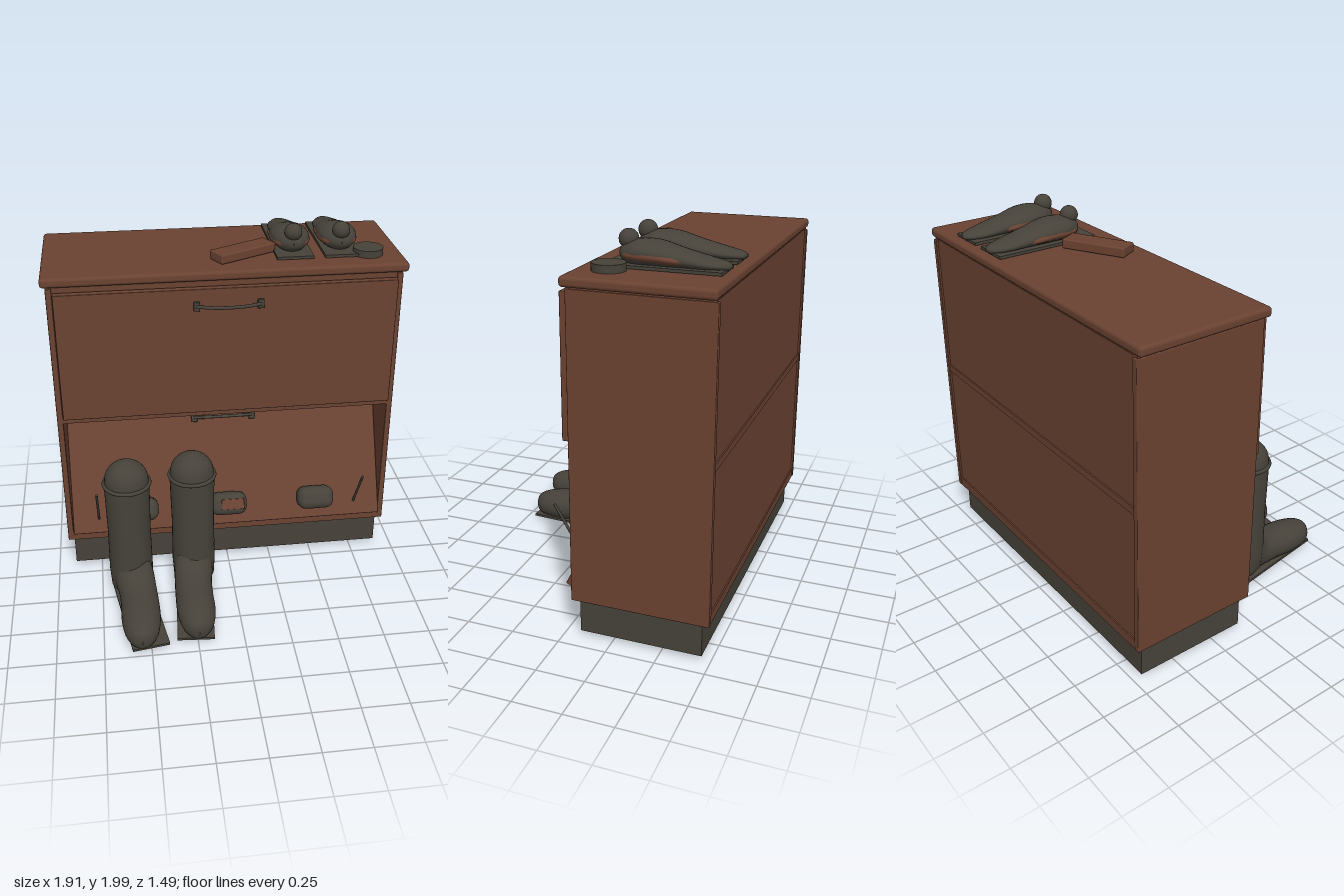
import * as THREE from 'three';
import { RoundedBoxGeometry } from 'three/addons/geometries/RoundedBoxGeometry.js';

const wood = new THREE.MeshStandardMaterial({ name: 'brown wood', color: 0x6a4231 });
const dark = new THREE.MeshStandardMaterial({ name: 'dark grey', color: 0x46423a });

function add(parent, name, geometry, material, x = 0, y = 0, z = 0) {
  const mesh = new THREE.Mesh(geometry, material);
  mesh.name = name;
  mesh.position.set(x, y, z);
  parent.add(mesh);
  return mesh;
}

function group(parent, name, x = 0, y = 0, z = 0) {
  const g = new THREE.Group();
  g.name = name;
  g.position.set(x, y, z);
  parent.add(g);
  return g;
}

// Box given by its limits on each axis, with an optional rounded edge
function slab(parent, name, material, [x0, x1], [y0, y1], [z0, z1], r = 0) {
  const size = [x1 - x0, y1 - y0, z1 - z0];
  const geo = r ? new RoundedBoxGeometry(...size, 3, r) : new THREE.BoxGeometry(...size);
  return add(parent, name, geo, material, (x0 + x1) / 2, (y0 + y1) / 2, (z0 + z1) / 2);
}

// Smooth body from oval sections [z, centre x, half width, bottom, top], z rising
function loft(sections, rings = 32, sides = 28) {
  const curve = (f) => new THREE.CatmullRomCurve3(sections.map(f), false, 'catmullrom', 0.5);
  const plan = curve(([z, cx, w]) => new THREE.Vector3(z, cx, w));
  const side = curve(([z, , , a, b]) => new THREE.Vector3(z, a, b));
  const pos = [], index = [];
  for (let i = 0; i <= rings; i++) {
    const p = plan.getPoint(i / rings), s = side.getPoint(i / rings);
    for (let j = 0; j < sides; j++) {
      const a = (j / sides) * Math.PI * 2;
      pos.push(p.y + Math.cos(a) * Math.max(p.z, 0.001), (s.y + s.z) / 2 + Math.sin(a) * (s.z - s.y) / 2, p.x);
      if (i === rings) continue;
      const k = i * sides + j, n = i * sides + (j + 1) % sides;
      index.push(k, n, k + sides, n, n + sides, k + sides);
    }
  }
  const geo = new THREE.BufferGeometry();
  geo.setAttribute('position', new THREE.Float32BufferAttribute(pos, 3));
  geo.setIndex(index);
  geo.computeVertexNormals();
  return geo;
}

// Bowed pull with square mounts, standing on the plane z = 0
function addHandle(parent, x, y, z) {
  const g = group(parent, 'handle', x, y, z);
  const path = new THREE.CatmullRomCurve3([-0.17, -0.1, 0, 0.1, 0.17].map(
    (px, i) => new THREE.Vector3(px, 0, [0.012, 0.036, 0.047, 0.036, 0.012][i])));
  add(g, 'handleBar', new THREE.TubeGeometry(path, 24, 0.009, 10), dark);
  for (const s of [-1, 1]) add(g, 'handleMount', new RoundedBoxGeometry(0.034, 0.05, 0.018, 2, 0.004), dark, s * 0.167, 0, 0.009);
}

// Tall boot; bend shifts the foot sideways, yaw turns the sole plate
function addBoot(parent, x, z, bend, yaw) {
  const g = group(parent, 'boot', x, 0, z);
  const profile = [[0.09, 0.06], [0.114, 0.1], [0.12, 0.2], [0.117, 0.45], [0.122, 0.74], [0.118, 0.775]];
  for (let i = 1; i <= 8; i++) {
    const a = (i / 8) * Math.PI / 2;
    profile.push([Math.max(0.118 * Math.cos(a), 0), 0.775 + 0.11 * Math.sin(a)]);
  }
  add(g, 'bootShaft', new THREE.LatheGeometry(profile.map((p) => new THREE.Vector2(...p)), 36), dark);
  const cuff = add(g, 'bootCuff', new THREE.TorusGeometry(0.122, 0.011, 10, 40), dark, 0, 0.755, 0);
  cuff.rotation.x = Math.PI / 2;
  add(g, 'bootFoot', loft([
    [-0.118, 0, 0.004, 0.07, 0.09], [-0.1, 0, 0.075, 0.025, 0.2], [-0.03, 0, 0.107, 0.008, 0.33],
    [0.07, bend * 0.4, 0.108, 0.01, 0.33], [0.14, bend * 0.8, 0.104, 0.015, 0.235],
    [0.24, bend, 0.104, 0.016, 0.202], [0.36, bend, 0.104, 0.01, 0.19], [0.46, bend, 0.084, 0.018, 0.168],
    [0.51, bend, 0.045, 0.04, 0.14], [0.525, bend, 0.003, 0.08, 0.1],
  ]), dark);
  const sole = group(g, 'bootSole');
  sole.rotation.y = yaw;
  slab(sole, 'solePlate', dark, [-0.1, 0.1], [0.028, 0.041], [-0.12, 0.505]);
  slab(sole, 'heelBlock', dark, [-0.07, 0.07], [0.03, 0.075], [-0.11, -0.02], 0.01);
}

// Low shoe with its toe to the back, standing on a plate, with a round knob
function addShoe(parent, x) {
  const g = group(parent, 'shoe', x, 1.83, 0);
  slab(g, 'shoePlate', dark, [-0.098, 0.098], [0.005, 0.02], [-0.7, -0.14]);
  add(g, 'shoeBody', loft([
    [-0.722, 0, 0.003, 0.025, 0.035], [-0.7, 0, 0.04, 0.01, 0.05], [-0.62, 0, 0.075, 0.008, 0.066],
    [-0.5, 0, 0.088, 0.008, 0.095], [-0.38, 0, 0.104, 0.008, 0.127], [-0.29, 0, 0.098, 0.008, 0.128],
    [-0.23, 0, 0.07, 0.015, 0.112], [-0.2, 0, 0.035, 0.04, 0.09], [-0.193, 0, 0.003, 0.06, 0.07],
  ]), dark);
  add(g, 'shoeSidePanel', loft([
    [-0.57, 0, 0.003, 0.035, 0.05], [-0.5, 0, 0.089, 0.02, 0.075], [-0.38, 0, 0.107, 0.02, 0.1],
    [-0.3, 0, 0.102, 0.02, 0.1], [-0.23, 0, 0.073, 0.03, 0.09], [-0.2, 0, 0.003, 0.055, 0.07],
  ]), wood);
  add(g, 'knobStem', new THREE.CylinderGeometry(0.025, 0.03, 0.05, 20), dark, 0, 0.105, -0.233);
  add(g, 'knob', new THREE.SphereGeometry(0.047, 24, 16), dark, 0, 0.123, -0.233);
}

export function createModel() {
  const model = new THREE.Group();
  model.name = 'shoeCabinet';

  // Carcass
  const body = group(model, 'cabinet');
  slab(body, 'plinth', dark, [-0.9, 0.9], [0.03, 0.212], [-0.705, -0.08]);
  slab(body, 'topBoard', wood, [-0.956, 0.956], [1.78, 1.831], [-0.748, -0.022], 0.018);
  slab(body, 'topRail', wood, [-0.9, 0.9], [1.735, 1.782], [-0.735, -0.05]);
  for (const s of [-1, 1]) {
    slab(body, 'sidePanel', wood, [s * 0.916 - 0.016, s * 0.916 + 0.016], [0.212, 1.77], [-0.748, -0.045], 0.004);
    slab(body, 'sideSpacer', wood, [s * 0.913 - 0.012, s * 0.913 + 0.012], [1.76, 1.785], [-0.738, -0.06]);
  }
  slab(body, 'backPanel', wood, [-0.905, 0.905], [0.22, 1.775], [-0.737, -0.72]);
  slab(body, 'middleShelf', wood, [-0.903, 0.903], [0.988, 1.026], [-0.744, -0.046]);
  slab(body, 'bottomBoard', wood, [-0.903, 0.903], [0.212, 0.265], [-0.744, -0.046]);
  slab(body, 'hingeStrip', dark, [-0.898, 0.898], [0.263, 0.282], [-0.065, -0.045]);

  // Closed upper flap
  slab(model, 'upperDoor', wood, [-0.896, 0.896], [1.033, 1.75], [-0.04, 0], 0.004);
  addHandle(model, 0, 1.66, 0);

  // Lower flap, tilted inwards about its lower edge
  const lower = group(model, 'lowerDoor', 0, 0.27, -0.02);
  lower.rotation.x = -0.46;
  slab(lower, 'lowerDoorPanel', wood, [-0.896, 0.896], [0, 0.72], [-0.02, 0.02], 0.004);
  addHandle(lower, 0, 0.63, 0.02);
  for (const x of [-0.51, 0, 0.51]) {
    const toe = add(model, 'shoeToe', new RoundedBoxGeometry(0.21, 0.13, 0.13, 5, 0.05), dark, x, 0.408, -0.022);
    toe.rotation.x = -0.46;
    if (x === 0) add(toe, 'toePatch', new RoundedBoxGeometry(0.13, 0.06, 0.006, 2, 0.002), wood, 0.02, 0, 0.064);
  }

  // Stay rods
  for (const s of [-1, 1]) {
    const rod = add(model, 'stayRod', new THREE.CylinderGeometry(0.007, 0.007, 0.33, 10), dark, s * 0.748, 0.478, 0.035);
    rod.rotation.x = 0.54;
  }

  // Boots on the floor
  addBoot(model, -0.58, 0.22, 0.034, 0.155);
  addBoot(model, -0.225, 0.18, -0.02, -0.075);

  // Things on the top board
  addShoe(model, 0.372);
  addShoe(model, 0.629);
  const brush = add(model, 'brush', new RoundedBoxGeometry(0.35, 0.05, 0.115, 2, 0.008), wood, 0.105, 1.861, -0.235);
  brush.rotation.y = 0.49;
  add(model, 'polishTin', new THREE.CylinderGeometry(0.08, 0.08, 0.038, 32), dark, 0.77, 1.851, -0.19);

  return model;
}
